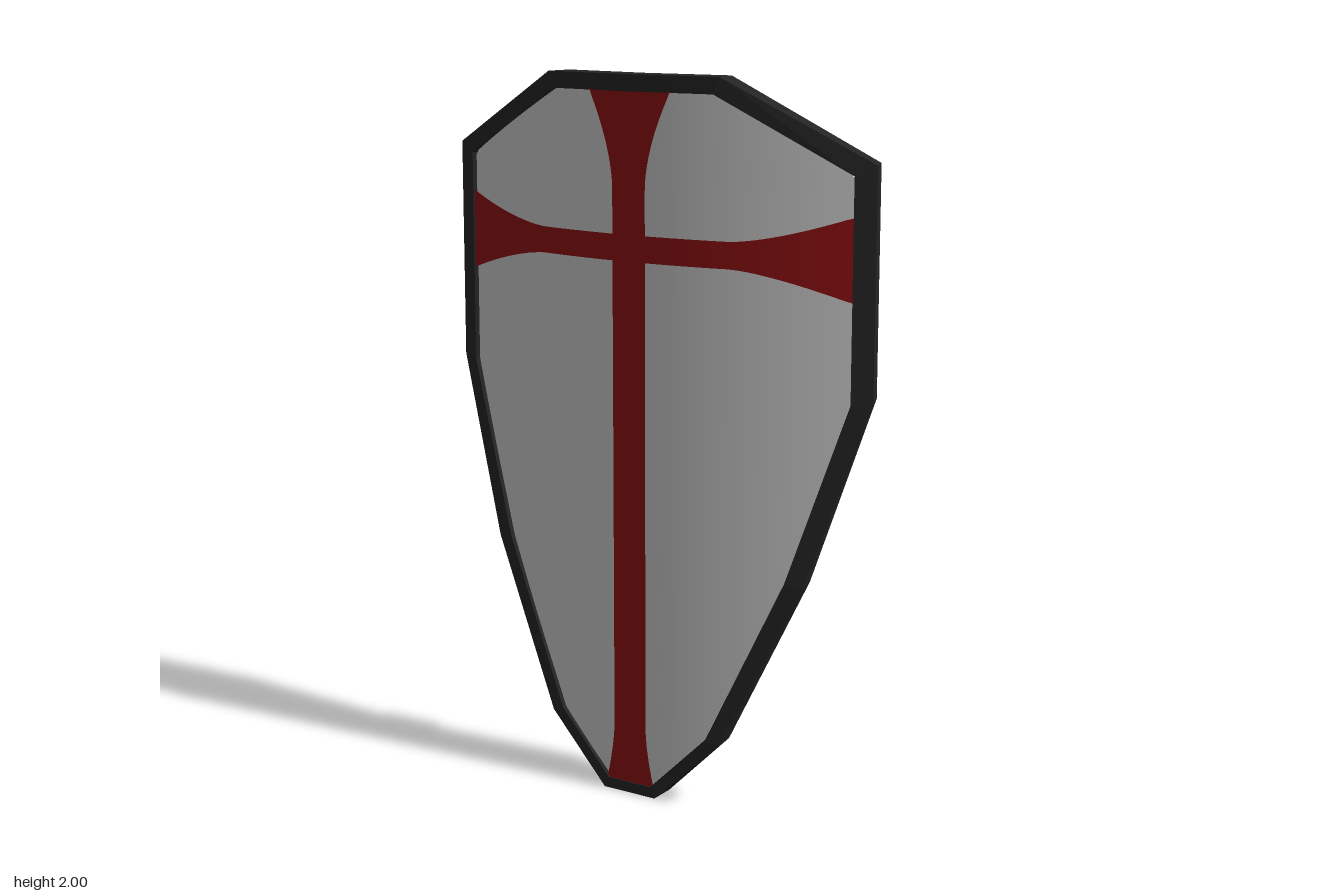
import * as THREE from 'three';

const steel = new THREE.MeshStandardMaterial({ color: 0xcccccc });
const red = new THREE.MeshStandardMaterial({ color: 0x8e0f11 });
const black = new THREE.MeshStandardMaterial({ color: 0x242424, flatShading: true });

// Right half of the outlines, top to bottom
const OUTER = [[0.275, 2], [0.677, 1.785], [0.677, 1.17], [0.51, 0.66], [0.28, 0.19], [0.085, 0.005]];
const INNER = [[0.257, 1.955], [0.622, 1.757], [0.622, 1.163], [0.46, 0.67], [0.243, 0.205], [0.07, 0.035]];

// Point on the bowed shield surface, shifted along its normal by d
function bow(x, y, d) {
  const normal = new THREE.Vector3(0.62 * x, 0, 1).normalize();
  return new THREE.Vector3(x, y - 1, 0.106 - 0.31 * x * x).addScaledVector(normal, d);
}

// Half width of the inner outline at height y
function halfWidth(y) {
  for (let i = 1; i < INNER.length; i++) {
    const [x0, y0] = INNER[i - 1], [x1, y1] = INNER[i];
    if (y >= y1) return THREE.MathUtils.lerp(x1, x0, Math.min(1, (y - y1) / (y0 - y1)));
  }
  return INNER[INNER.length - 1][0];
}

// Plane bent onto the surface; shape maps u, v in -1..1 to [x, y]
function sheet(name, material, nu, nv, d, shape, flip = 1) {
  const geo = new THREE.PlaneGeometry(2, 2, nu, nv);
  const p = geo.attributes.position;
  for (let i = 0; i < p.count; i++) {
    const [x, y] = shape(p.getX(i) * flip, p.getY(i));
    const q = bow(x, y, d);
    p.setXYZ(i, q.x, q.y, q.z);
  }
  geo.computeVertexNormals();
  const mesh = new THREE.Mesh(geo, material);
  mesh.name = name;
  return mesh;
}

// Rim: four-cornered section swept round the outline with straight runs
function makeRim() {
  const loop = (half) => [[0, half[0][1]], ...half, ...half.slice().reverse().map(([x, y]) => [-x, y])];
  const outer = loop(OUTER), inner = loop(INNER), n = outer.length;
  const sections = outer.map(([x, y], i) => [
    bow(x, y, 0), bow(...inner[i], 0), bow(...inner[i], -0.08), bow(x, y, -0.08),
  ]);
  const pos = [];
  const add = (...pts) => pts.forEach((v) => pos.push(v.x, v.y, v.z));
  for (let i = 0; i < n; i++) {
    const a = sections[i], b = sections[(i + 1) % n];
    for (let j = 0; j < 4; j++) {
      const k = (j + 1) % 4;
      add(a[j], b[k], b[j], a[j], a[k], b[k]);
    }
  }
  const geo = new THREE.BufferGeometry();
  geo.setAttribute('position', new THREE.Float32BufferAttribute(pos, 3));
  geo.computeVertexNormals();
  // Clockwise outline: turn the faces outward if the first one looks backward
  if (geo.attributes.normal.getZ(0) < 0) {
    const p = geo.attributes.position;
    for (let i = 0; i < p.count; i += 3) {
      const t = [p.getX(i), p.getY(i), p.getZ(i)];
      p.setXYZ(i, p.getX(i + 1), p.getY(i + 1), p.getZ(i + 1));
      p.setXYZ(i + 1, ...t);
    }
    geo.computeVertexNormals();
  }
  const mesh = new THREE.Mesh(geo, black);
  mesh.name = 'rim';
  return mesh;
}

// Grip: bent bar, drawn from the side and extruded across x
function makeHandle() {
  const outline = [[-0.05, 0.27], [0.095, 0.205], [0.095, 0.005], [-0.05, -0.06],
    [-0.05, -0.022], [0.063, 0.027], [0.063, 0.183], [-0.05, 0.232]];
  const shape = new THREE.Shape(outline.map(([x, y]) => new THREE.Vector2(x, y)));
  const geo = new THREE.ExtrudeGeometry(shape, { depth: 0.036, bevelEnabled: false });
  geo.translate(0, 0, -0.018);
  geo.rotateY(Math.PI / 2); // shape x becomes -z
  const mesh = new THREE.Mesh(geo, black);
  mesh.name = 'handle';
  return mesh;
}

export function createModel() {
  const shield = new THREE.Group();
  shield.name = 'shield';

  // Front and back of the board, tucked slightly under the rim
  const board = (u, v) => {
    const y = 0.995 + 0.968 * v;
    return [u * (halfWidth(y) + 0.008), y];
  };
  shield.add(sheet('boardFront', steel, 28, 60, -0.013, board));
  shield.add(sheet('boardBack', steel, 28, 60, -0.068, board, -1));

  // Cross arms with flared ends
  const flare = (t, power) => Math.pow(THREE.MathUtils.clamp(t, 0, 1), power);
  shield.add(sheet('crossUpright', red, 6, 80, -0.005, (u, v) => {
    const y = 0.995 + 0.963 * v;
    const w = 0.053 + 0.077 * flare((y - 1.7) / 0.255, 1.7) + 0.027 * flare((0.2 - y) / 0.17, 1.6);
    return [u * w, y];
  }));
  shield.add(sheet('crossBar', red, 60, 4, -0.005, (u, v) => {
    const x = 0.624 * u;
    return [x, 1.54 + v * (0.036 + 0.074 * flare((Math.abs(x) - 0.3) / 0.32, 1.5))];
  }));

  shield.add(makeRim(), makeHandle());

  // Slight lean of the whole shield
  shield.rotation.set(0.0075, -0.019, -0.004);
  shield.position.y = 1;

  const model = new THREE.Group();
  model.add(shield);
  return model;
}
